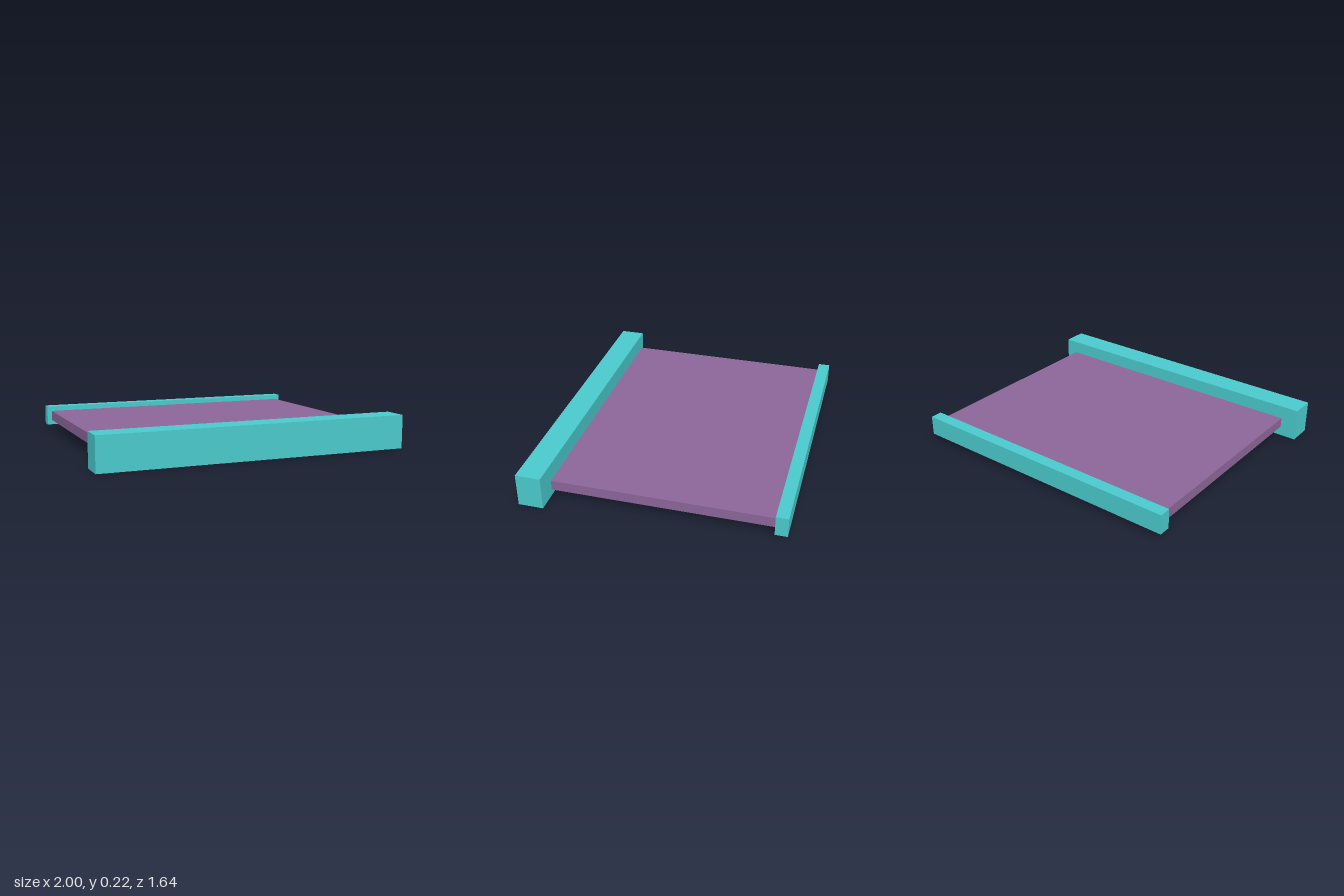
import * as THREE from 'three';

export function createModel() {
  const model = new THREE.Group();
  model.name = 'slabWithEndRails';

  const teal = new THREE.MeshStandardMaterial({ color: 0x4ac9cc });
  teal.name = 'teal';
  const purple = new THREE.MeshStandardMaterial({ color: 0x8b6699 });
  purple.name = 'purple';

  // Box centred on x, given by its width and its y and z ranges
  const addBox = (name, material, width, [y0, y1], [z0, z1]) => {
    const mesh = new THREE.Mesh(new THREE.BoxGeometry(width, y1 - y0, z1 - z0), material);
    mesh.name = name;
    mesh.position.set(0, (y0 + y1) / 2, (z0 + z1) / 2);
    model.add(mesh);
  };

  // Large rail, set off from the panel by a narrow gap
  addBox('frontRail', teal, 2, [0, 0.215], [0.66, 0.82]);
  // Flat panel
  addBox('panel', purple, 1.804, [0.075, 0.14], [-0.743, 0.638]);
  // Smaller rail closing the back edge of the panel
  addBox('backRail', teal, 1.864, [0.043, 0.172], [-0.82, -0.743]);

  return model;
}
